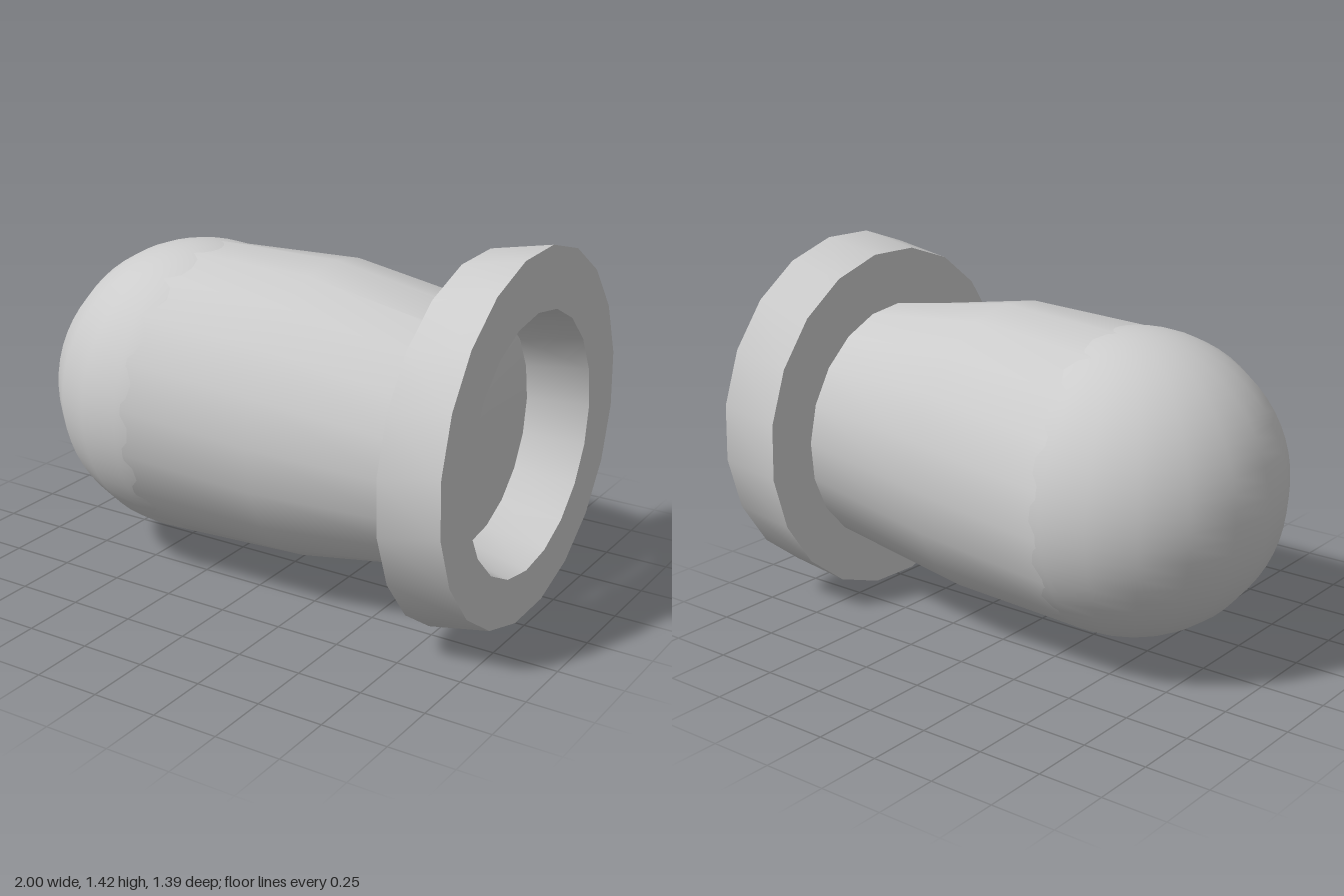
import * as THREE from 'three';
import { toCreasedNormals } from 'three/addons/utils/BufferGeometryUtils.js';

const SIDES = 20;
const material = new THREE.MeshStandardMaterial({ color: 0xcccccc });

// Skin 20-sided rings along x; each ring: x, centre y and z, radius, phase in degrees, tilt (x per unit height)
function loft(rings, closed = false) {
  const positions = [], indices = [];
  for (const { x, y, z = 0, r, phase = 0, tilt = 0 } of rings) {
    for (let i = 0; i < SIDES; i++) {
      const a = (i / SIDES) * Math.PI * 2 + THREE.MathUtils.degToRad(phase);
      const up = r * Math.sin(a);
      positions.push(x + tilt * up, y + up, z + r * Math.cos(a));
    }
  }
  const spans = closed ? rings.length : rings.length - 1;
  for (let k = 0; k < spans; k++) {
    const next = (k + 1) % rings.length;
    for (let i = 0; i < SIDES; i++) {
      const j = (i + 1) % SIDES;
      const a = k * SIDES + i, b = next * SIDES + i, c = next * SIDES + j, d = k * SIDES + j;
      if (rings[k].r > 0) indices.push(a, b, d);
      if (rings[next].r > 0) indices.push(b, c, d);
      else if (rings[k].r > 0) continue;
    }
  }
  const geometry = new THREE.BufferGeometry();
  geometry.setAttribute('position', new THREE.Float32BufferAttribute(positions, 3));
  geometry.setIndex(indices);
  return toCreasedNormals(geometry, THREE.MathUtils.degToRad(32));
}

function addPart(group, name, geometry) {
  const mesh = new THREE.Mesh(geometry, material);
  mesh.name = name;
  group.add(mesh);
  return mesh;
}

export function createModel() {
  const group = new THREE.Group();
  group.name = 'domedCapsule';

  // Rounded closed end
  const dome = addPart(group, 'dome', new THREE.SphereGeometry(0.576, SIDES, 32));
  dome.position.set(-0.424, 0.675, 0);

  // Slightly twisted, tapering barrel with a bevelled end that forms the socket floor
  addPart(group, 'barrel', loft([
    { x: -0.4, y: 0.674, r: 0.575, phase: 7 },
    { x: 0.16, y: 0.692, r: 0.572, phase: 2 },
    { x: 0.747, y: 0.69, z: -0.01, r: 0.485, phase: -3, tilt: -0.025 },
    { x: 0.757, y: 0.715, r: 0.437 },
    { x: 0.757, y: 0.715, r: 0 },
  ]));

  // Sheared flange with a funnel-shaped opening
  addPart(group, 'flange', loft([
    { x: 0.765, y: 0.695, z: 0.005, r: 0.692, phase: 7 },
    { x: 0.997, y: 0.737, z: -0.01, r: 0.694, phase: 7 },
    { x: 0.997, y: 0.717, r: 0.488 },
    { x: 0.765, y: 0.715, r: 0.436 },
  ], true));

  return group;
}
